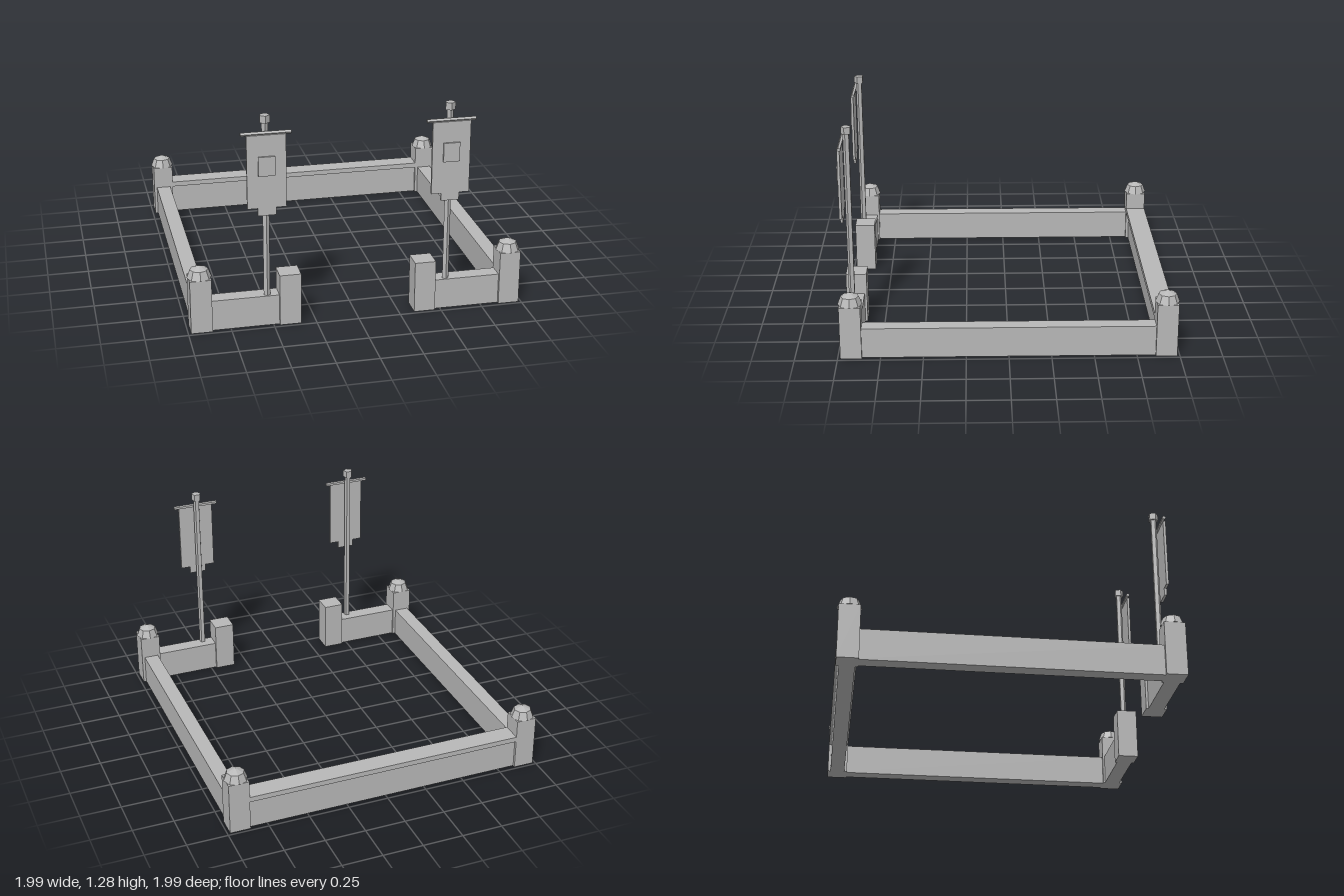
import * as THREE from 'three';

const stone = new THREE.MeshStandardMaterial({ color: 0xb8b8b8, flatShading: true });
stone.name = 'grey stone';

function add(parent, name, geometry, x, y, z) {
  const mesh = new THREE.Mesh(geometry, stone);
  mesh.name = name;
  mesh.position.set(x, y, z);
  parent.add(mesh);
  return mesh;
}

// Box given by its centre in x and z, and its bottom and top heights
function block(parent, name, x, z, width, depth, bottom, top) {
  return add(parent, name, new THREE.BoxGeometry(width, top - bottom, depth), x, (bottom + top) / 2, z);
}

// Square post with a faceted dome
function cornerPost(x, z) {
  const post = new THREE.Group();
  post.name = 'cornerPost';
  block(post, 'postShaft', x, z, 0.125, 0.125, 0, 0.325);
  const profile = [[0, 0], [0.072, 0], [0.053, 0.05], [0, 0.072]].map(([r, y]) => new THREE.Vector2(r, y));
  add(post, 'postDome', new THREE.LatheGeometry(profile, 8), x, 0.325, z);
  return post;
}

// Pole with finial, crossbar, hanging cloth and raised emblem plate
function bannerPole(x) {
  const banner = new THREE.Group();
  banner.name = 'bannerPole';
  banner.position.x = x;
  add(banner, 'pole', new THREE.CylinderGeometry(0.02, 0.02, 1.07, 5), 0, 0.71, 0.94);
  add(banner, 'finial', new THREE.CylinderGeometry(0.031, 0.031, 0.043, 5), 0, 1.256, 0.94);
  const bar = add(banner, 'crossbar', new THREE.CylinderGeometry(0.012, 0.012, 0.287, 5), 0, 1.182, 0.973);
  bar.rotation.z = Math.PI / 2;

  const outline = [
    [-0.112, 1.175], [-0.112, 0.742], [-0.053, 0.742], [-0.053, 0.697],
    [0.053, 0.697], [0.053, 0.742], [0.112, 0.742], [0.112, 1.175],
  ].map(([px, py]) => new THREE.Vector2(px, py));
  const cloth = new THREE.ExtrudeGeometry(new THREE.Shape(outline), { depth: 0.016, bevelEnabled: false });
  add(banner, 'bannerCloth', cloth, 0, 0, 0.973);
  block(banner, 'bannerEmblem', 0, 0.994, 0.096, 0.012, 0.936, 1.05);
  return banner;
}

export function createModel() {
  const model = new THREE.Group();
  model.name = 'walledCourt';

  // Back wall with overhanging coping
  block(model, 'backWall', 0, -0.922, 1.84, 0.09, 0, 0.185);
  block(model, 'backWallCoping', 0, -0.922, 1.84, 0.125, 0.185, 0.217);

  for (const side of [-1, 1]) {
    model.add(cornerPost(side * 0.921, 0.921), cornerPost(side * 0.921, -0.922));
    block(model, 'sideWall', side * 0.921, 0, 0.09, 1.84, 0, 0.185);
    // Short front wall ending in a gate block
    block(model, 'frontWall', side * 0.66, 0.918, 0.52, 0.095, 0, 0.185);
    block(model, 'gateBlock', side * 0.402, 0.919, 0.126, 0.125, 0, 0.312);
    model.add(bannerPole(side * 0.534));
  }
  return model;
}
